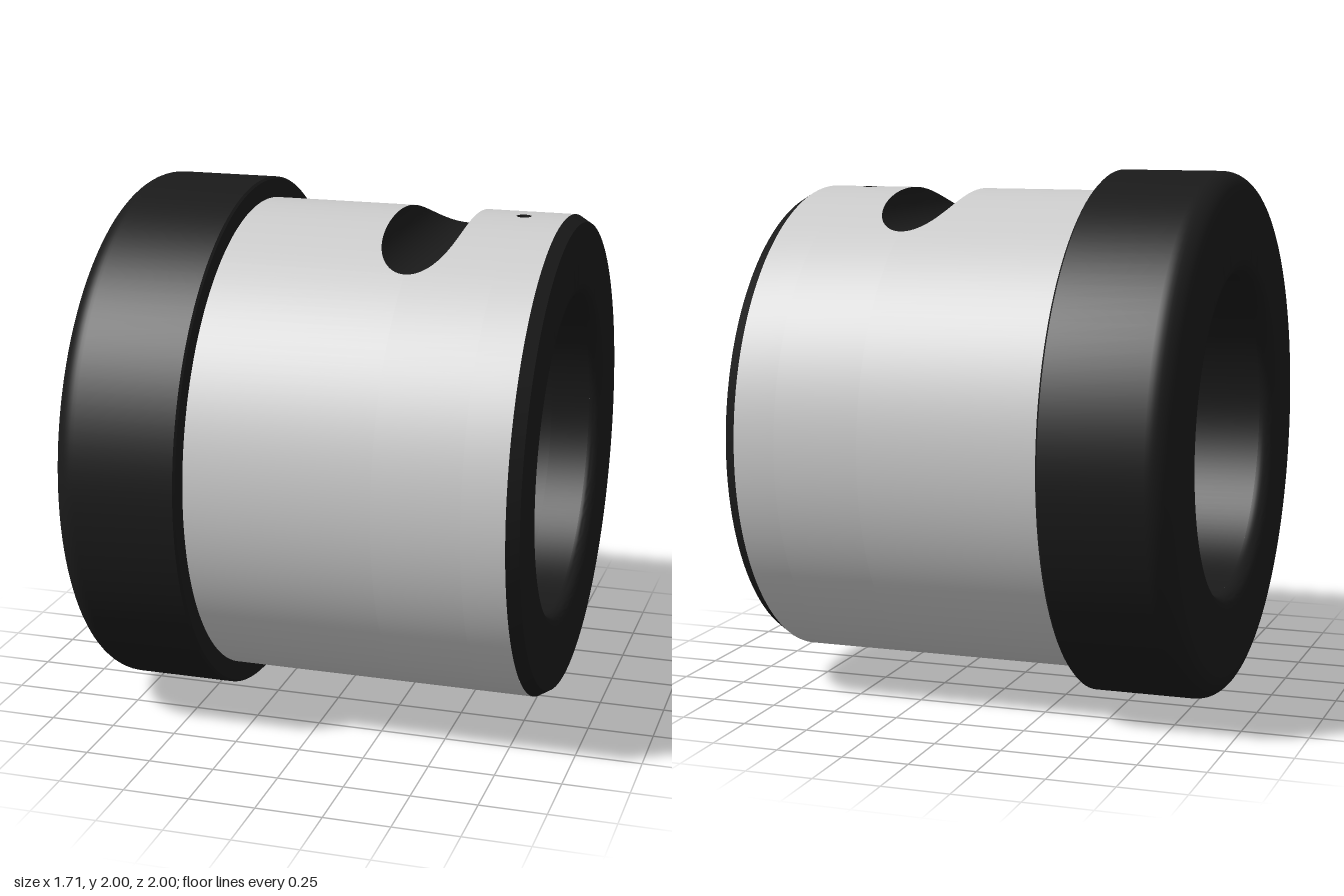
import * as THREE from 'three';
import { toCreasedNormals } from 'three/addons/utils/BufferGeometryUtils.js';

const R = 0.92, BORE = 0.61;                       // sleeve and bore radii
const SLOT = { x: 0.325, y: 0.93, r: 0.148 };      // round cutter crossing the top
const PIN = { x: 0.65, r: 0.028 };                 // oil hole through both walls
const clamp = THREE.MathUtils.clamp;

const grey = new THREE.MeshStandardMaterial({ color: 0xcccccc, side: THREE.DoubleSide });
const black = new THREE.MeshStandardMaterial({ color: 0x1a1a1a, side: THREE.DoubleSide });

// Surface over a grid of (nu + 1) x (nv + 1) points; fn returns [x, y, z]
function grid(nu, nv, fn) {
  const pos = [], idx = [];
  for (let i = 0; i <= nu; i++) for (let j = 0; j <= nv; j++) pos.push(...fn(i, j));
  for (let i = 0; i < nu; i++) for (let j = 0; j < nv; j++) {
    const a = i * (nv + 1) + j, b = a + nv + 1;
    idx.push(a, a + 1, b, b, a + 1, b + 1);
  }
  const g = new THREE.BufferGeometry();
  g.setAttribute('position', new THREE.Float32BufferAttribute(pos, 3));
  g.setIndex(idx);
  g.computeVertexNormals();
  return g;
}

// Profile of [radius, x] turned about the x axis
function turned(points) {
  const g = new THREE.LatheGeometry(points.map(p => new THREE.Vector2(...p)), 128);
  return toCreasedNormals(g.rotateZ(-Math.PI / 2), 0.4);
}

function arc(cr, cx, r, from, to, n = 10) {
  return Array.from({ length: n + 1 }, (_, i) => {
    const t = from + (to - from) * i / n;
    return [cr + r * Math.cos(t), cx + r * Math.sin(t)];
  });
}

// Angles around the axis (0 = top), finer where openings lie
function angles(radius, withSlot) {
  const list = [];
  for (let i = 0; i <= 160; i++) list.push(-Math.PI + i * Math.PI / 80);
  const refine = (mid, half, n) => {
    for (let k = -n; k <= n; k++) list.push(mid + half * Math.sin(k / n * Math.PI / 2));
  };
  const p = Math.asin(PIN.r / radius);
  refine(0, p, 8);
  refine(Math.PI, p, 8);
  refine(-Math.PI, p, 8);
  if (withSlot) refine(0, slotEnd, 32);
  return list.filter(t => Math.abs(t) <= Math.PI + 1e-9).sort((a, b) => a - b);
}

const slotEnd = Math.acos((SLOT.y - SLOT.r) / R);
const slotHalf = t => Math.sqrt(Math.max(0, SLOT.r ** 2 - (R * Math.cos(t) - SLOT.y) ** 2));
const pinHalf = (t, radius) => Math.sqrt(Math.max(0, PIN.r ** 2 - (radius * Math.sin(t)) ** 2));

// Band of a cylinder between two edge curves xa(t) and xb(t)
function band(radius, list, xa, xb, inward = false) {
  return grid(list.length - 1, 1, (i, j) => {
    const t = list[i];
    return [(j === 1) !== inward ? xb(t) : xa(t), radius * Math.cos(t), radius * Math.sin(t)];
  });
}

export function createModel() {
  const model = new THREE.Group();
  const body = new THREE.Group();
  body.name = 'flangedBushing';
  body.position.y = 1;
  model.add(body);
  const add = (name, geometry, material) => {
    const m = new THREE.Mesh(geometry, material);
    m.name = name;
    body.add(m);
    return m;
  };

  // Collar with a rounded outer rim and rounded bore mouth
  add('collar', turned([
    ...arc(BORE + 0.06, -0.795, 0.06, Math.PI, Math.PI * 1.5),
    ...arc(0.91, -0.765, 0.09, -Math.PI / 2, 0),
    [1, -0.383], [0.992, -0.375], [R, -0.375],
  ]), black);

  // Sleeve surface, split around the slot and oil holes
  const outer = angles(R, true);
  const pinL = r => t => PIN.x - pinHalf(t, r), pinR = r => t => PIN.x + pinHalf(t, r);
  add('sleeveCollarSide', band(R, outer, () => -0.375, t => SLOT.x - slotHalf(t)), grey);
  add('sleeveMiddle', band(R, outer, t => SLOT.x + slotHalf(t), pinL(R)), grey);
  add('sleeveEndSide', band(R, outer, pinR(R), () => 0.81), grey);

  // Rounded slot milled across the top
  add('topSlot', grid(64, 20, (i, j) => {
    const t = slotEnd * Math.sin((i / 32 - 1) * Math.PI / 2);
    const open = Math.acos(clamp((SLOT.y - R * Math.cos(t)) / SLOT.r, -1, 1));
    const a = open * (j / 10 - 1);
    return [SLOT.x + SLOT.r * Math.sin(a), SLOT.y - SLOT.r * Math.cos(a), R * Math.sin(t)];
  }), black);

  // Chamfered end face
  add('endFace', turned([
    [R, 0.81], [0.893, 0.855],
    ...arc(BORE + 0.05, 0.805, 0.05, Math.PI / 2, Math.PI),
  ]), black);

  // Plain bore at both ends
  const inner = angles(BORE, false);
  add('boreCollarEnd', band(BORE, inner, () => -0.795, () => -0.4, true), black);
  add('boreThreadSide', band(BORE, inner, () => 0.58, pinL(BORE), true), black);
  add('boreFaceSide', band(BORE, inner, pinR(BORE), () => 0.805, true), black);

  // Helical groove in the middle of the bore
  const pitch = 0.24, x0 = -0.4, x1 = 0.58;
  const profile = [[0, 0], [0.3, 0], [0.62, 0], [0.68, 0.04], [0.8, 0.05], [0.92, 0.04], [0.98, 0]];
  const n = profile.length;
  add('boreGroove', toCreasedNormals(grid(128, n * 6, (i, j) => {
    const t = i / 128 * Math.PI * 2;
    const [phase, depth] = profile[j % n];
    const x = clamp(x1 + pitch * (i / 128 - Math.floor(j / n) - phase), x0, x1);
    const r = BORE + depth * Math.min(1, (x - x0) / 0.04, (x1 - x) / 0.04);
    return [x, r * Math.cos(t), r * Math.sin(t)];
  }), 0.4), black);

  // Oil hole walls, top and bottom
  for (const side of [1, -1]) {
    add(side > 0 ? 'oilHoleTop' : 'oilHoleBottom', grid(32, 1, (i, j) => {
      const a = i / 32 * Math.PI * 2, z = PIN.r * Math.sin(a);
      const y = Math.sqrt((j ? R : BORE) ** 2 - z * z);
      return [PIN.x + PIN.r * Math.cos(a), side * y, z];
    }), black);
  }
  return model;
}
